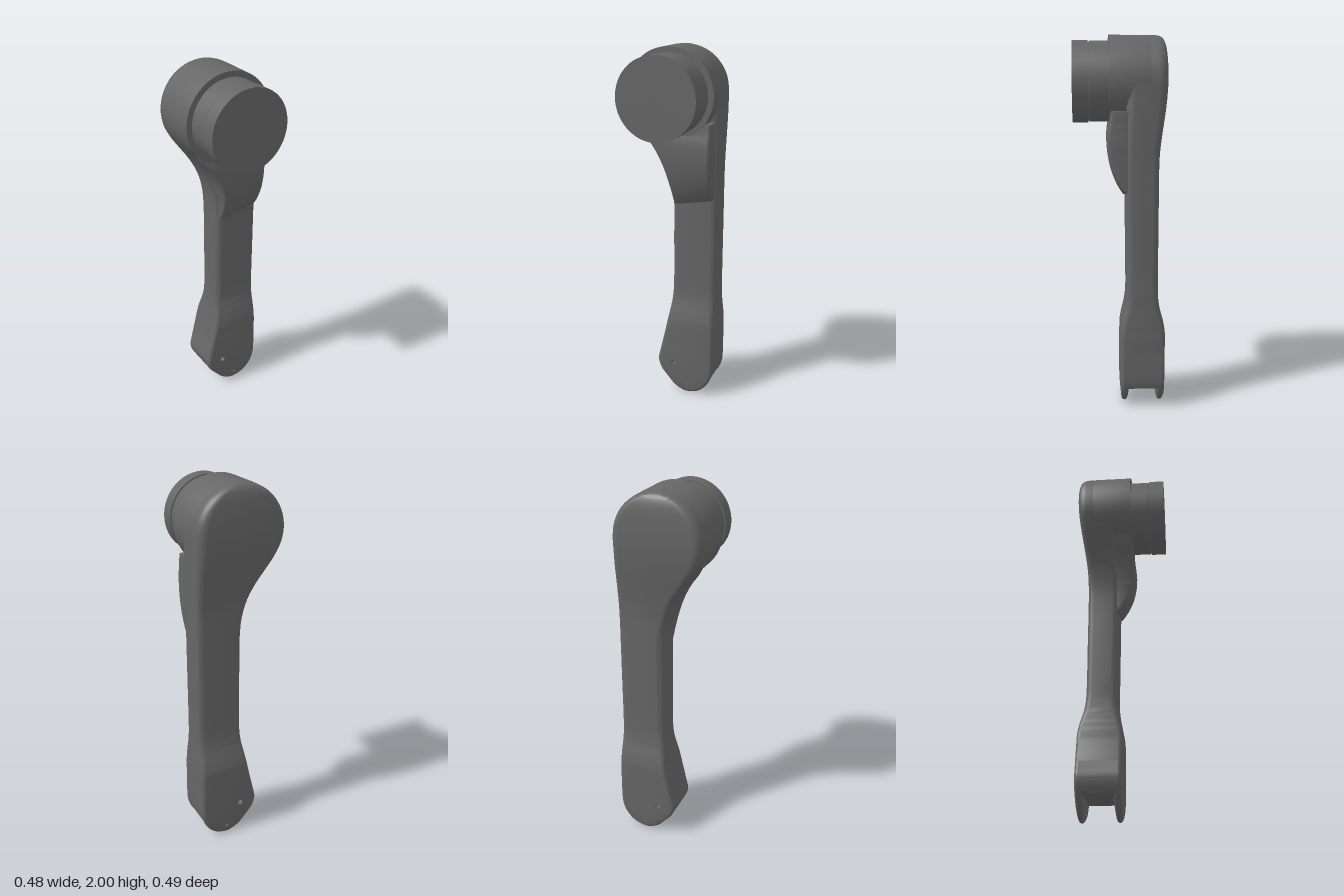
import * as THREE from 'three';
import { toCreasedNormals } from 'three/addons/utils/BufferGeometryUtils.js';

const material = new THREE.MeshStandardMaterial({ color: 0x666666 });
const HEAD_Y = 1.76, HEAD_R = 0.24;

function addPart(group, name, geometry, crease = 0.6) {
  const mesh = new THREE.Mesh(toCreasedNormals(geometry, crease), material);
  mesh.name = name;
  group.add(mesh);
}

// Rounded-rectangle sections stacked in y; each row is [y, xLow, xHigh, zFront, zBack]
function loft(rows, radiusAt, move = (x, y) => y) {
  const corners = [[1, 1, 0], [-1, 1, 1], [-1, -1, 2], [1, -1, 3]], steps = 6;
  const n = corners.length * (steps + 1), pos = [], index = [];
  const put = (x, y, z) => pos.push(x, move(x, y), z);
  for (const [y, x0, x1, zf, zb] of rows) {
    const cx = (x0 + x1) / 2, cz = (zf + zb) / 2, hx = (x1 - x0) / 2, hz = (zf - zb) / 2;
    const r = Math.min(radiusAt(y), hx * 0.9, hz * 0.9);
    for (const [sx, sz, q] of corners) {
      for (let k = 0; k <= steps; k++) {
        const a = (q + k / steps) * Math.PI / 2;
        put(cx + sx * (hx - r) + r * Math.cos(a), y, cz + sz * (hz - r) + r * Math.sin(a));
      }
    }
  }
  const last = (rows.length - 1) * n, bottom = rows.length * n;
  for (const row of [rows[0], rows[rows.length - 1]]) put((row[1] + row[2]) / 2, row[0], (row[3] + row[4]) / 2);
  for (let j = 0; j < n; j++) {
    const k = (j + 1) % n;
    for (let i = 0; i < last; i += n) index.push(i + j, i + n + j, i + k, i + k, i + n + j, i + n + k);
    index.push(bottom, j, k, bottom + 1, last + k, last + j);
  }
  const geo = new THREE.BufferGeometry();
  geo.setAttribute('position', new THREE.Float32BufferAttribute(pos, 3));
  geo.setIndex(index);
  return geo;
}

// Smooths key rows into finer ones
function refine(keys, parts = 3) {
  const front = new THREE.CatmullRomCurve3(keys.map(k => new THREE.Vector3(k[1], k[0], k[3])), false, 'centripetal');
  const back = new THREE.CatmullRomCurve3(keys.map(k => new THREE.Vector3(k[2], k[0], k[4])), false, 'centripetal');
  return Array.from({ length: (keys.length - 1) * parts + 1 }, (_, i) => {
    const t = i / ((keys.length - 1) * parts), f = front.getPoint(t), b = back.getPoint(t);
    return [f.y, f.x, b.x, f.z, b.z];
  });
}

// Turned part around the z axis of the head; profile points are [radius, z]
function turned(profile) {
  const geo = new THREE.LatheGeometry(profile.map(p => new THREE.Vector2(...p)), 64);
  return geo.rotateX(Math.PI / 2).translate(0, HEAD_Y, 0);
}

const pinHoles = [[0, 0.185, 0.015], [0.085, 0.05, 0.007]];
const PLATE = 0.04, BEVEL = 0.018;

function forkShape(points, holes) {
  const shape = new THREE.Shape(points);
  for (const [x, y, r] of holes) shape.holes.push(new THREE.Path().absarc(x, y, r, 0, Math.PI * 2, true));
  return shape;
}

// Rounded fork plate: hole walls are pulled straight, and the tip thins toward the bottom
function forkPlate(points, zBack) {
  const geo = new THREE.ExtrudeGeometry(forkShape(points, pinHoles), {
    depth: PLATE - 2 * BEVEL, bevelThickness: BEVEL, bevelSize: BEVEL, bevelOffset: -BEVEL, bevelSegments: 5, curveSegments: 10,
  }).translate(0, 0, BEVEL - PLATE / 2);
  const p = geo.attributes.position;
  for (let i = 0; i < p.count; i++) {
    for (const [hx, hy, r] of pinHoles) {
      const dx = p.getX(i) - hx, dy = p.getY(i) - hy, d = Math.hypot(dx, dy);
      if (d < r + BEVEL + 0.001) p.setXY(i, hx + dx * r / d, hy + dy * r / d);
    }
    const low = Math.max(0, 0.1 - p.getY(i)) / 0.1;
    p.setZ(i, p.getZ(i) * (1 - 0.4 * low * low));
  }
  return geo.translate(0, 0, zBack + PLATE / 2);
}

export function createModel() {
  const model = new THREE.Group();
  model.name = 'handle';

  // Arm, flaring into the back of the round head; edges get rounder upward
  const armKeys = [
    [0.28, -0.08, 0.235, -0.005, -0.24], [0.36, -0.061, 0.235, -0.005, -0.24],
    [0.44, -0.045, 0.235, -0.006, -0.239], [0.5, -0.035, 0.235, -0.015, -0.229],
    [0.56, -0.026, 0.235, -0.027, -0.213], [0.62, -0.021, 0.235, -0.035, -0.203],
    [0.7, -0.018, 0.235, -0.036, -0.2], [0.95, -0.017, 0.235, -0.033, -0.2],
    [1.2, -0.017, 0.235, -0.03, -0.2], [1.3, -0.027, 0.235, -0.03, -0.2],
    [1.4, -0.056, 0.236, -0.03, -0.203], [1.48, -0.098, 0.237, -0.03, -0.212],
    [1.55, -0.147, 0.238, -0.03, -0.222], [1.62, -0.195, 0.239, -0.03, -0.232],
    [1.69, -0.229, 0.239, -0.03, -0.239], [1.76, -0.239, 0.239, -0.03, -0.243],
  ];
  for (const [deg, zb] of [[18, -0.243], [34, -0.241], [48, -0.238], [60, -0.232], [70, -0.224], [79, -0.211], [86, -0.195]]) {
    const a = deg * Math.PI / 180, x = 0.239 * Math.cos(a);
    armKeys.push([HEAD_Y + 0.239 * Math.sin(a), -x, x, -0.03, zb]);
  }
  const armRadius = y => BEVEL + 0.015 * THREE.MathUtils.smoothstep(y, 0.34, 0.6) + 0.014 * THREE.MathUtils.smoothstep(y, 1.4, 1.75);
  addPart(model, 'arm', loft(refine(armKeys), armRadius), 0.9);

  // Round head, knob neck and knob cap
  addPart(model, 'head', turned([[0, -0.17], [HEAD_R - 0.005, -0.17], [HEAD_R, -0.15], [HEAD_R, 0.055], [0, 0.055]]));
  addPart(model, 'knobNeck', turned([[0, 0.04], [0.21, 0.04], [0.21, 0.156], [0.205, 0.158], [0.205, 0.17], [0, 0.17]]));
  addPart(model, 'knobCap', turned([[0, 0.163], [0.214, 0.163], [0.214, 0.245], [0, 0.245]]));

  // Curved gusset under the head, its lower edge sweeping up to one side
  const gussetKeys = [
    [1.158, -0.004, 0.222, -0.024, -0.08], [1.18, -0.004, 0.222, -0.008, -0.08],
    [1.23, -0.005, 0.222, 0.019, -0.08], [1.3, -0.015, 0.222, 0.045, -0.08],
    [1.38, -0.037, 0.222, 0.061, -0.08], [1.46, -0.076, 0.222, 0.066, -0.08],
    [1.52, -0.118, 0.222, 0.062, -0.08], [1.56, -0.14, 0.222, 0.054, -0.08],
    [1.615, -0.17, 0.222, 0.048, -0.08],
  ];
  const sweep = (x, y) => y + 0.8 * x * Math.max(x, 0) * Math.max(0, (1.5 - y) / 0.34);
  addPart(model, 'gusset', loft(refine(gussetKeys), () => 0.014, sweep));

  // Forked foot: two rounded plates with pin holes and a core between them
  const outline = new THREE.SplineCurve([
    [-0.07, 0.32], [-0.088, 0.245], [-0.098, 0.19], [-0.08, 0.132], [-0.035, 0.077], [0, 0.038],
    [0.04, 0.012], [0.085, 0.001], [0.15, 0.018], [0.2, 0.065], [0.228, 0.125], [0.235, 0.19], [0.235, 0.32],
  ].map(p => new THREE.Vector2(...p))).getPoints(72);
  addPart(model, 'frontForkPlate', forkPlate(outline, -0.045));
  addPart(model, 'backForkPlate', forkPlate(outline, -0.24));
  const coreOutline = outline.map(p => new THREE.Vector2(p.x, Math.max(p.y, 0.115)));
  const core = new THREE.ExtrudeGeometry(forkShape(coreOutline, [pinHoles[0]]), {
    depth: 0.199, bevelEnabled: false, curveSegments: 10,
  }).translate(0, 0, -0.222);
  addPart(model, 'forkCore', core);

  return model;
}
